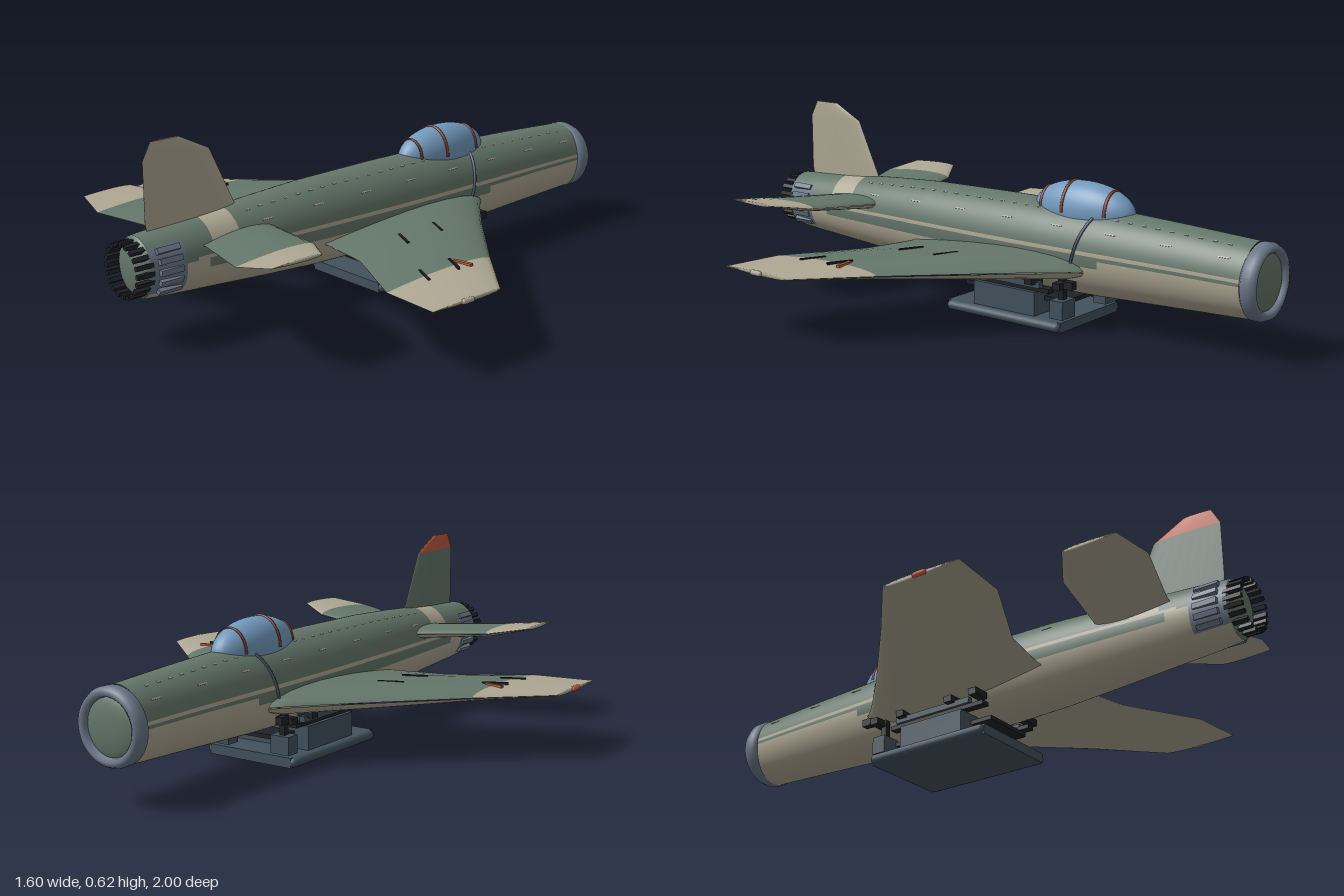
import * as THREE from 'three';

const mat = (name, color) => Object.assign(new THREE.MeshStandardMaterial({ color }), { name });
const green = mat('camouflage green', 0x64766a);
const beige = mat('underside beige', 0xaea793);
const steel = mat('blue grey steel', 0x6a7787);
const slate = mat('slate', 0x42525e);
const glass = mat('canopy blue', 0x7199bd);
const rust = mat('frame brown', 0x7a3a2c);
const orange = mat('signal orange', 0xc05a40);
const black = mat('black', 0x1f2226);

// Skin over rows of points; pick(i, j) gives the material of each panel
function skin(name, rows, pick, flip = false) {
  const n = rows[0].length, byMat = new Map();
  for (let i = 0; i < rows.length - 1; i++) {
    for (let j = 0; j < n - 1; j++) {
      const a = i * n + j, b = a + 1, c = b + n, d = a + n, m = pick(i, j);
      if (!byMat.has(m)) byMat.set(m, []);
      byMat.get(m).push(...(flip ? [a, c, b, a, d, c] : [a, b, c, a, c, d]));
    }
  }
  const geo = new THREE.BufferGeometry().setFromPoints(rows.flat());
  const index = [], mats = [...byMat.keys()];
  mats.forEach((m, k) => {
    const list = byMat.get(m);
    geo.addGroup(index.length, list.length, k);
    for (const v of list) index.push(v);
  });
  geo.setIndex(index);
  geo.computeVertexNormals();
  const mesh = new THREE.Mesh(geo, mats);
  mesh.name = name;
  return mesh;
}

// Aerofoil surface; rows are [span, leading z, trailing z, centre height, thickness]
function foil(name, stations, place, pick, flip) {
  const N = 12, last = stations.at(-1);
  const all = [...stations, [last[0], last[1], last[2], last[3], 0]];
  const rows = all.map(([span, z0, z1, mid, t]) => {
    const half = side => Array.from({ length: N + 1 }, (_, k) => {
      const s = (1 - Math.cos(Math.PI * (side > 0 ? k : N - k) / N)) / 2;
      const h = side * t * (1.3 * Math.sqrt(s) * (1 - s) + 0.02);
      return place(span, mid + h, z0 + (z1 - z0) * s);
    });
    return [...half(1), ...half(-1)];
  });
  return skin(name, rows, (i, j) => pick(i, j < N), flip);
}

// Fuselage stations: [z, half width, half height, centre height]
const BODY = [
  [-0.95, 0.103, 0.12, 0.24], [-0.7, 0.112, 0.131, 0.242], [-0.4, 0.124, 0.143, 0.242],
  [-0.2, 0.128, 0.147, 0.242], [0, 0.128, 0.147, 0.242], [0.3, 0.122, 0.141, 0.244],
  [0.5, 0.112, 0.13, 0.245], [0.7, 0.101, 0.116, 0.245], [0.85, 0.095, 0.106, 0.245],
  [0.95, 0.085, 0.098, 0.246],
];
function onBody(z, deg, lift = 0) {
  let k = 0;
  while (k < BODY.length - 2 && z > BODY[k + 1][0]) k++;
  const p = BODY[k], q = BODY[k + 1], f = (z - p[0]) / (q[0] - p[0]);
  const [rx, ry, cy] = [1, 2, 3].map(e => p[e] + (q[e] - p[e]) * f);
  const a = THREE.MathUtils.degToRad(deg);
  return new THREE.Vector3((rx + lift) * Math.cos(a), cy + (ry + lift) * Math.sin(a), z);
}
function bodyColour(z, deg) {
  const up = deg > 90 ? 180 - deg : deg;
  if (z < -0.94) return beige;
  if (z > 0.83 && Math.abs(up) < 45) return steel;
  if (up > 10) return z > 0.63 && z < 0.73 ? beige : green;
  if (up > 5) return z < 0.8 ? beige : green;
  return z < 0.75 && up > (z < -0.45 ? 0 : -10) ? green : beige;
}

export function createModel() {
  const model = new THREE.Group();
  const add = (name, geo, m, x = 0, y = 0, z = 0) => {
    const mesh = new THREE.Mesh(geo, m);
    mesh.name = name;
    mesh.position.set(x, y, z);
    model.add(mesh);
    return mesh;
  };
  const box = (name, m, w, h, d, x, y, z) => add(name, new THREE.BoxGeometry(w, h, d), m, x, y, z);

  // Fuselage
  const zs = Array.from({ length: 96 }, (_, i) => -0.95 + i * 0.02);
  const rings = zs.map(z => Array.from({ length: 73 }, (_, j) => onBody(z, j * 5 - 90)));
  model.add(skin('fuselage', rings, (i, j) => bodyColour(zs[i] + 0.01, j * 5 - 87.5)));

  // Nose intake ring and domed cap
  const lip = [[0.098, 0.06], [0.108, 0.055], [0.12, 0.045], [0.12, 0.02], [0.112, 0.004], [0.1, 0], [0.09, 0.008], [0.085, 0.03]];
  const ring = add('noseRing', new THREE.LatheGeometry(lip.map(p => new THREE.Vector2(...p)).reverse(), 48), steel, 0, 0.24, -1);
  ring.rotation.x = Math.PI / 2;
  ring.material.side = THREE.DoubleSide;
  const cap = add('noseCap', new THREE.SphereGeometry(0.098, 40, 20), green, 0, 0.24, -0.97);
  cap.scale.z = 0.27;

  // Tail dome, nozzle teeth and nozzle flaps
  add('tailDome', new THREE.SphereGeometry(0.086, 40, 20), green, 0, 0.246, 0.94).scale.set(1, 1.14, 0.4);
  for (let k = 0; k < 20; k++) {
    const deg = k * 18, a = THREE.MathUtils.degToRad(deg);
    const tooth = box('nozzleTooth', black, 0.014, 0.014, 0.06, 0.081 * Math.cos(a), 0.246 + 0.081 * Math.sin(a), 0.97);
    tooth.rotation.z = a;
    if (Math.abs(Math.sin(a)) < 0.75) {
      const p = onBody(0.885, deg, 0.003);
      box('nozzleFlap', steel, 0.014, 0.018, 0.08, p.x, p.y, p.z).rotation.z = a;
    }
  }

  // Canopy with frame hoops
  const canopy = add('canopy', new THREE.SphereGeometry(1, 40, 24), glass, 0, 0.37, -0.32);
  canopy.scale.set(0.078, 0.095, 0.19);
  for (const z of [-0.435, -0.28, -0.18]) {
    const f = Math.sqrt(1 - ((z + 0.32) / 0.19) ** 2);
    const hoop = add('canopyHoop', new THREE.TorusGeometry(1, 0.045, 6, 32, Math.PI), rust, 0, 0.37, z);
    hoop.scale.set(0.079 * f, 0.096 * f, 0.13);
  }

  // Fin: outer colours differ between the two sides
  model.add(foil('fin', [
    [0.32, 0.55, 0.9, 0, 0.028], [0.37, 0.58, 0.91, 0, 0.026], [0.56, 0.67, 0.91, 0, 0.02], [0.615, 0.78, 0.88, 0, 0.012],
  ], (y, t, z) => new THREE.Vector3(-t, y, z), (i, right) => (right ? (i > 1 ? orange : green) : beige)));

  for (const s of [1, -1]) {
    const place = (x, y, z) => new THREE.Vector3(s * x, y, z);
    // Swept wing
    model.add(foil('wing', [
      [0.06, -0.42, 0.31, 0.2, 0.085], [0.13, -0.395, 0.31, 0.2, 0.082], [0.17, -0.345, 0.318, 0.2, 0.08],
      [0.315, -0.2, 0.345, 0.203, 0.068], [0.585, 0.05, 0.487, 0.209, 0.036], [0.79, 0.23, 0.505, 0.212, 0.014],
    ], place, (i, top) => (top && i < 4 ? green : beige), s < 0));
    // Tailplane
    model.add(foil('tailplane', [
      [0.05, 0.49, 0.76, 0.29, 0.045], [0.11, 0.505, 0.77, 0.295, 0.042], [0.35, 0.555, 0.85, 0.313, 0.028], [0.475, 0.635, 0.82, 0.333, 0.012],
    ], place, (i, top) => (top && i < 2 ? green : beige), s < 0));

    // Wing fences, orange marks and tip lights
    for (const [x, z, y] of [[0.31, 0.003, 0.234], [0.31, 0.153, 0.228], [0.582, 0.207, 0.228], [0.58, 0.33, 0.221]]) {
      box('wingFence', black, 0.085, 0.012, 0.007, s * x, y, z).rotation.y = -s * 0.45;
    }
    box('wingMark', orange, 0.065, 0.009, 0.012, s * 0.592, 0.229, 0.18).rotation.y = s * 0.15;
    const light = add('tipLight', new THREE.CapsuleGeometry(0.009, 0.032, 4, 12), s < 0 ? orange : beige, s * 0.79, 0.212, 0.365);
    light.rotation.x = Math.PI / 2;

    // Strap from canopy to wing root, with its anchor
    const path = Array.from({ length: 9 }, (_, k) => {
      const p = onBody(-0.345 - k * 0.007, -20 + k * 10.5, 0.002);
      return place(p.x, p.y, p.z);
    });
    add('strap', new THREE.TubeGeometry(new THREE.CatmullRomCurve3(path), 24, 0.005, 6), slate);
    box('strapAnchor', black, 0.025, 0.025, 0.035, s * 0.15, 0.16, -0.37);

    // Rivet dashes along the fuselage
    for (const [deg, step, len] of [[62, 0.05, 0.014], [38, 0.2, 0.04]]) {
      for (let z = -0.88; z < 0.6; z += step) {
        const p = onBody(z, deg, 0.0005);
        box('panelDash', beige, 0.002, 0.004, len, s * p.x, p.y, z).rotation.z = s * THREE.MathUtils.degToRad(deg);
      }
    }

    // Stand rails, clamps and front blocks
    box('standRail', black, 0.03, 0.014, 0.38, s * 0.125, 0.121, -0.09);
    box('standRailTop', slate, 0.02, 0.02, 0.3, s * 0.14, 0.138, -0.1);
    for (const z of [-0.33, -0.22, -0.02, 0.08]) box('standClamp', black, 0.06, 0.022, 0.03, s * 0.14, 0.152, z);
    box('standFrontBlock', slate, 0.07, 0.06, 0.05, s * 0.12, 0.07, -0.32);
    box('standFrontPost', black, 0.02, 0.07, 0.02, s * 0.12, 0.13, -0.32);
    // Rounded long edge of the base
    const edge = add('baseEdge', new THREE.CapsuleGeometry(0.0165, 0.43, 5, 12), slate, s * 0.16, 0.0165, -0.11);
    edge.rotation.x = Math.PI / 2;
  }

  // Display stand
  box('standBase', slate, 0.32, 0.033, 0.463, 0, 0.0165, -0.11);
  box('standBody', slate, 0.3, 0.085, 0.25, 0, 0.07, -0.105);
  box('standPlate', black, 0.19, 0.014, 0.42, 0, 0.083, -0.11);
  return model;
}
